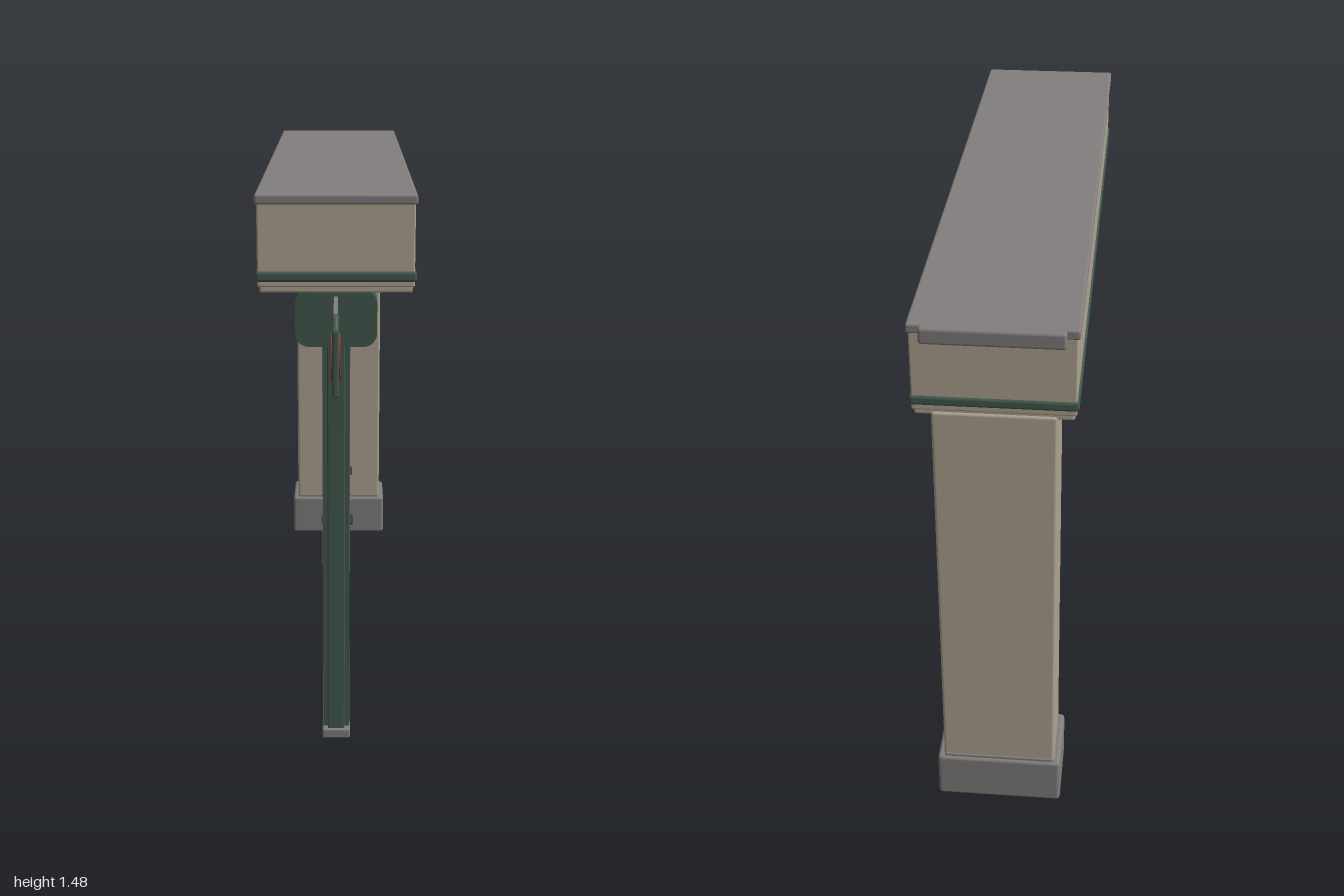
import * as THREE from 'three';
import { RoundedBoxGeometry } from 'three/addons/geometries/RoundedBoxGeometry.js';

const paint = (name, color) => {
  const m = new THREE.MeshStandardMaterial({ color });
  m.name = name;
  return m;
};

export function createModel() {
  const stone = paint('warm stone', 0xb0a594);
  const grey = paint('grey', 0x827f7e);
  const green = paint('dark green', 0x42594d);
  const red = paint('red', 0x9a3623);
  const dark = paint('dark metal', 0x3c3c3c);

  const model = new THREE.Group();
  const add = (name, geo, mat, x = 0, y = 0, z = 0) => {
    const mesh = new THREE.Mesh(geo, mat);
    mesh.name = name;
    mesh.position.set(x, y, z);
    model.add(mesh);
    return mesh;
  };
  // Box centred on x, given half width, y range, z range and bevel radius
  const block = (name, mat, hx, y0, y1, z0, z1, r = 0, x = 0) => {
    const size = [hx * 2, y1 - y0, z1 - z0];
    const geo = r ? new RoundedBoxGeometry(...size, 2, r) : new THREE.BoxGeometry(...size);
    return add(name, geo, mat, x, (y0 + y1) / 2, (z0 + z1) / 2);
  };

  // Overhead beam with its trims and cap
  block('beam', stone, 0.195, 1.25, 1.465, -0.98, 0.795, 0.005);
  block('beamLowerLip', stone, 0.19, 1.235, 1.268, -0.975, 0.79, 0.006);
  block('beamBand', green, 0.2, 1.264, 1.29, -0.985, 0.802, 0.008);
  block('beamCap', grey, 0.2, 1.455, 1.48, -0.985, 0.802, 0.006);
  block('rearCapLip', grey, 0.17, 1.435, 1.478, -1.0, -0.97, 0.008);

  // Rear column and plinth
  block('column', stone, 0.15, 0.14, 1.245, -0.98, -0.805, 0.008);
  block('plinth', grey, 0.167, 0.008, 0.145, -0.99, -0.792, 0.01);
  block('plinthNeck', grey, 0.148, 0.14, 0.153, -0.983, -0.803, 0.004);

  // Roller housing: rounded rectangle run along the beam
  const w = 0.103, h = 0.0725, r = 0.035;
  const profile = new THREE.Shape();
  profile.moveTo(-w + r, -h);
  profile.lineTo(w - r, -h);
  profile.absarc(w - r, -h + r, r, -Math.PI / 2, 0);
  profile.absarc(w - r, h - r, r, 0, Math.PI / 2);
  profile.absarc(-w + r, h - r, r, Math.PI / 2, Math.PI);
  profile.absarc(-w + r, -h + r, r, Math.PI, Math.PI * 1.5);
  add('rollerHousing', new THREE.ExtrudeGeometry(profile, { depth: 1.56, bevelEnabled: false, curveSegments: 8 }),
    green, 0, 1.1645, -0.795);

  // Roller curtain, bottom rail and lift handles
  block('curtain', green, 0.01, 0.425, 1.12, -0.76, 0.7);
  block('bottomRail', grey, 0.022, 0.403, 0.433, -0.755, 0.695);
  for (const z of [0.205, -0.265]) {
    for (const side of [-1, 1]) {
      block('liftHandle', dark, 0.013, 0.421, 0.429, z - 0.035, z + 0.035, 0.003, side * 0.034);
    }
  }

  // Side guides and front post
  block('rearGuide', grey, 0.035, 0, 1.12, -0.79, -0.752);
  block('frontGuide', grey, 0.036, 0, 1.12, 0.69, 0.714);
  block('frontPost', green, 0.035, 0.02, 1.12, 0.712, 0.745);
  block('frontPostRib', green, 0.023, 0.02, 1.12, 0.74, 0.758, 0.004);
  block('frontPostFoot', grey, 0.037, 0, 0.026, 0.69, 0.767, 0.004);

  // Hanging sign on its bracket
  block('signPanel', green, 0.008, 1.02, 1.185, 0.808, 0.992, 0.005);
  block('signBracket', grey, 0.005, 1.218, 1.227, 0.79, 1.0);
  for (const z of [0.832, 0.97]) {
    add('signHanger', new THREE.CylinderGeometry(0.003, 0.003, 0.045, 8), grey, 0, 1.2, z);
  }
  for (const side of [-1, 1]) {
    const disc = add('signDisc', new THREE.CylinderGeometry(0.058, 0.058, 0.004, 32), red, side * 0.009, 1.1, 0.9);
    disc.rotation.z = Math.PI / 2;
  }

  return model;
}
